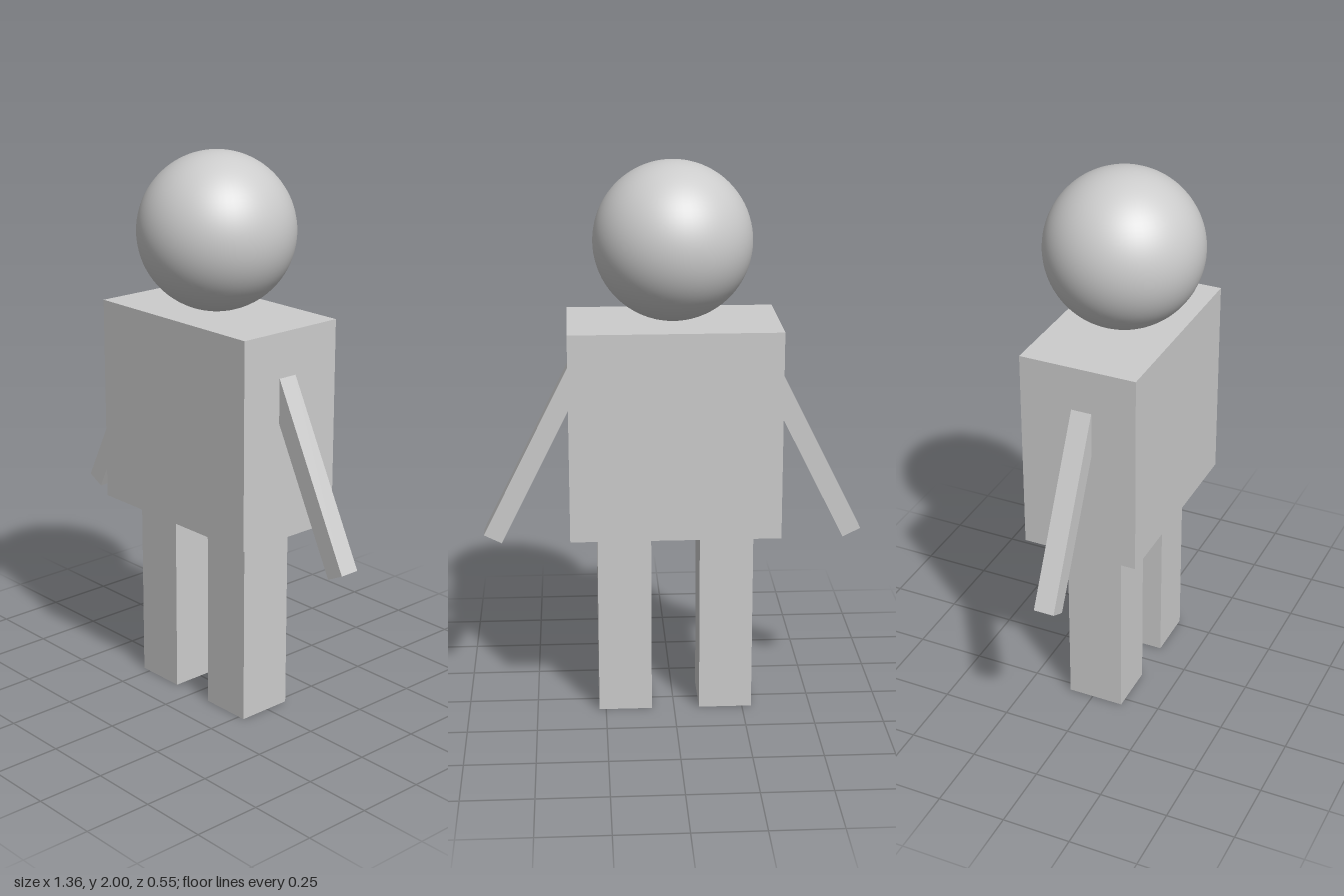
import * as THREE from 'three';

export function createModel() {
  const model = new THREE.Group();
  model.name = 'figure';
  const grey = new THREE.MeshStandardMaterial({ color: 0xcccccc });
  grey.name = 'light grey';

  const add = (name, geometry, x, y, z) => {
    const mesh = new THREE.Mesh(geometry, grey);
    mesh.name = name;
    mesh.position.set(x, y, z);
    model.add(mesh);
    return mesh;
  };

  // Round head resting on the torso
  add('head', new THREE.SphereGeometry(0.277, 64, 40), 0, 1.723, 0);

  // Block torso
  add('torso', new THREE.BoxGeometry(0.74, 0.742, 0.424), 0, 1.073, -0.003);

  // Legs, set slightly forward and to the right
  const leg = new THREE.BoxGeometry(0.192, 0.71, 0.208);
  add('leftLeg', leg, 0.178, 0.355, 0.012);
  add('rightLeg', leg, -0.188, 0.355, 0.012);

  // Thin arms slanting outward from inside the shoulders
  const armLength = 0.75;
  const arm = new THREE.BoxGeometry(0.071, armLength, 0.074);
  arm.translate(0, armLength / 2, 0); // pivot at the hand end
  for (const side of [1, -1]) {
    const mesh = add(side > 0 ? 'leftArm' : 'rightArm', arm, side * 0.648, 0.649, 0.011);
    mesh.rotation.z = side * 0.464;
  }

  return model;
}
